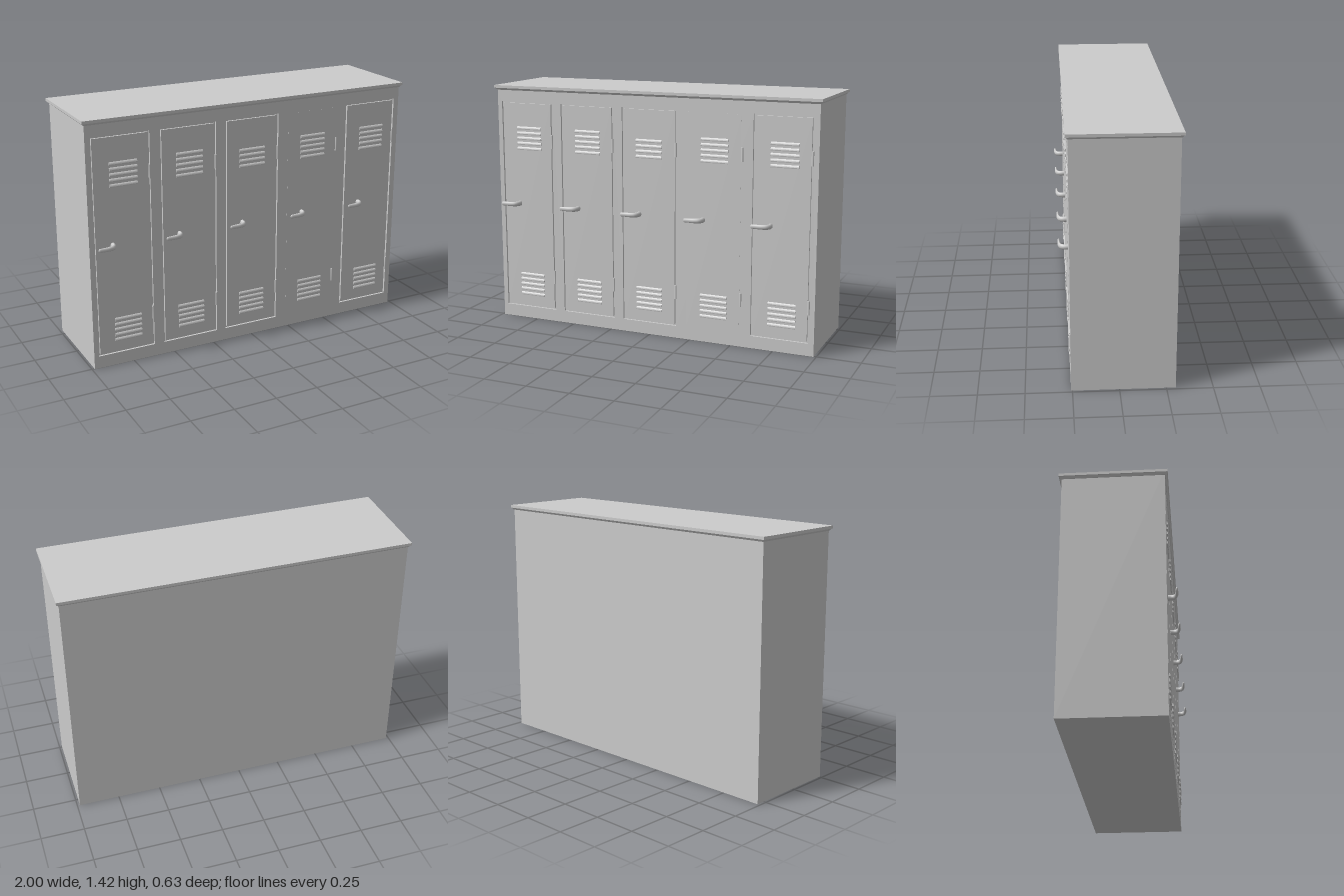
import * as THREE from 'three';

const mat = new THREE.MeshStandardMaterial({ color: 0xcccccc });
const FRONT = 0.257, BACK = -0.3, HALF = 0.985, TOP = 1.395;
const PANEL = 0.012; // depth of the front sheet and of the door gaps

function add(parent, name, geo, x = 0, y = 0, z = 0) {
  const m = new THREE.Mesh(geo, mat);
  m.name = name;
  m.position.set(x, y, z);
  parent.add(m);
  return m;
}

// Rectangle outline from its corners
function rect(Type, x0, y0, x1, y1) {
  const p = new Type();
  p.moveTo(x0, y0);
  p.lineTo(x1, y0);
  p.lineTo(x1, y1);
  p.lineTo(x0, y1);
  p.closePath();
  return p;
}

// Pressed louvre: sloping hood extruded along x, flat back on z = 0
function louvreGeometry(width) {
  const s = new THREE.Shape();
  s.moveTo(0, -0.009);
  s.lineTo(0.006, -0.009);
  s.lineTo(0.007, -0.004);
  s.quadraticCurveTo(0.006, 0.005, 0, 0.009);
  s.closePath();
  const g = new THREE.ExtrudeGeometry(s, { depth: width, bevelEnabled: false, curveSegments: 4 });
  g.rotateY(-Math.PI / 2); // profile x -> +z, depth -> -x
  g.translate(width / 2, 0, 0);
  return g;
}

// Bent lever: a tube whose rings are scaled to taper towards the tip
function handleGeometry() {
  const curve = new THREE.CatmullRomCurve3([
    new THREE.Vector3(0.046, 0, -0.01),
    new THREE.Vector3(0.046, 0, 0.02),
    new THREE.Vector3(0.037, 0, 0.037),
    new THREE.Vector3(0.015, 0, 0.046),
    new THREE.Vector3(-0.02, 0, 0.049),
    new THREE.Vector3(-0.055, 0, 0.05),
  ]);
  const rings = 28, sides = 14, r = 0.0155;
  const g = new THREE.TubeGeometry(curve, rings, r, sides, false);
  const pos = g.attributes.position, v = new THREE.Vector3();
  for (let i = 0; i <= rings; i++) {
    const t = i / rings, c = curve.getPointAt(t);
    const end = Math.sqrt(Math.max(0, 1 - Math.max(0, (t - 0.92) / 0.08) ** 2)); // closed tip
    const tall = (1 - 0.28 * t) * end;
    const thick = (0.85 - 0.5 * t) * end;
    for (let j = 0; j <= sides; j++) {
      const k = i * (sides + 1) + j;
      v.fromBufferAttribute(pos, k).sub(c);
      pos.setXYZ(k, c.x + v.x * thick, c.y + v.y * tall, c.z + v.z * thick);
    }
  }
  g.computeVertexNormals();
  return g;
}

export function createModel() {
  const model = new THREE.Group();
  model.name = 'lockerRow';

  // Per door: centre x, vent centre x, slats in the upper vent
  const doors = [
    { x: -0.79, vent: -0.777, slats: 5 },
    { x: -0.395, vent: -0.39, slats: 5 },
    { x: -0.002, vent: -0.002, slats: 4 },
    { x: 0.39, vent: 0.394, slats: 5, flush: true },
    { x: 0.785, vent: 0.797, slats: 5 },
  ];
  const w = 0.168, y0 = 0.072, y1 = 1.327, gap = 0.009;

  // Cabinet body behind the front sheet
  const depth = FRONT - PANEL - BACK;
  add(model, 'cabinetBody', new THREE.BoxGeometry(HALF * 2, TOP, depth), 0, TOP / 2, BACK + depth / 2);

  // Front sheet with door openings
  const sheet = rect(THREE.Shape, -HALF, 0, HALF, TOP);
  for (const d of doors) {
    if (!d.flush) sheet.holes.push(rect(THREE.Path, d.x - w, y0, d.x + w, y1));
  }
  add(model, 'frontFrame', new THREE.ExtrudeGeometry(sheet, { depth: PANEL, bevelEnabled: false }), 0, 0, FRONT - PANEL);

  // Overhanging top with a tapered lower lip
  const zMid = (FRONT + BACK) / 2, zLen = FRONT - BACK;
  add(model, 'topSlab', new THREE.BoxGeometry(2, 0.016, zLen + 0.03), 0, 1.413, zMid);
  const lip = new THREE.BoxGeometry(1.99, 0.012, zLen + 0.024).toNonIndexed();
  const lp = lip.attributes.position;
  for (let i = 0; i < lp.count; i++) {
    if (lp.getY(i) < 0) lp.setXYZ(i, lp.getX(i) * 0.992, lp.getY(i), lp.getZ(i) * 0.97);
  }
  lip.computeVertexNormals();
  add(model, 'topLip', lip, 0, 1.399, zMid);

  // Doors with vents, hinges and handles
  const louvre = louvreGeometry(0.16);
  const handle = handleGeometry();
  const hinge = new THREE.CylinderGeometry(0.007, 0.007, 0.08, 12);
  const doorGeo = new THREE.BoxGeometry((w - gap) * 2, y1 - y0 - gap * 2, PANEL);
  for (const d of doors) {
    const door = new THREE.Group();
    door.name = 'lockerDoor';
    model.add(door);
    const proud = d.flush ? 0.0004 : 0;
    add(door, 'doorPanel', doorGeo, d.x, (y0 + y1) / 2, FRONT - PANEL / 2 + proud);

    for (const [base, count] of [[1.05, d.slats], [0.154, 5]]) {
      for (let i = 0; i < count; i++) {
        add(door, 'ventLouvre', louvre, d.vent, base + i * 0.0305, FRONT);
      }
    }
    for (const y of [1.1, 0.275]) add(door, 'hinge', hinge, d.x + w - 0.003, y, FRONT - 0.001);
    add(door, 'handle', handle, d.x - 0.108, 0.715, FRONT);
  }
  return model;
}
